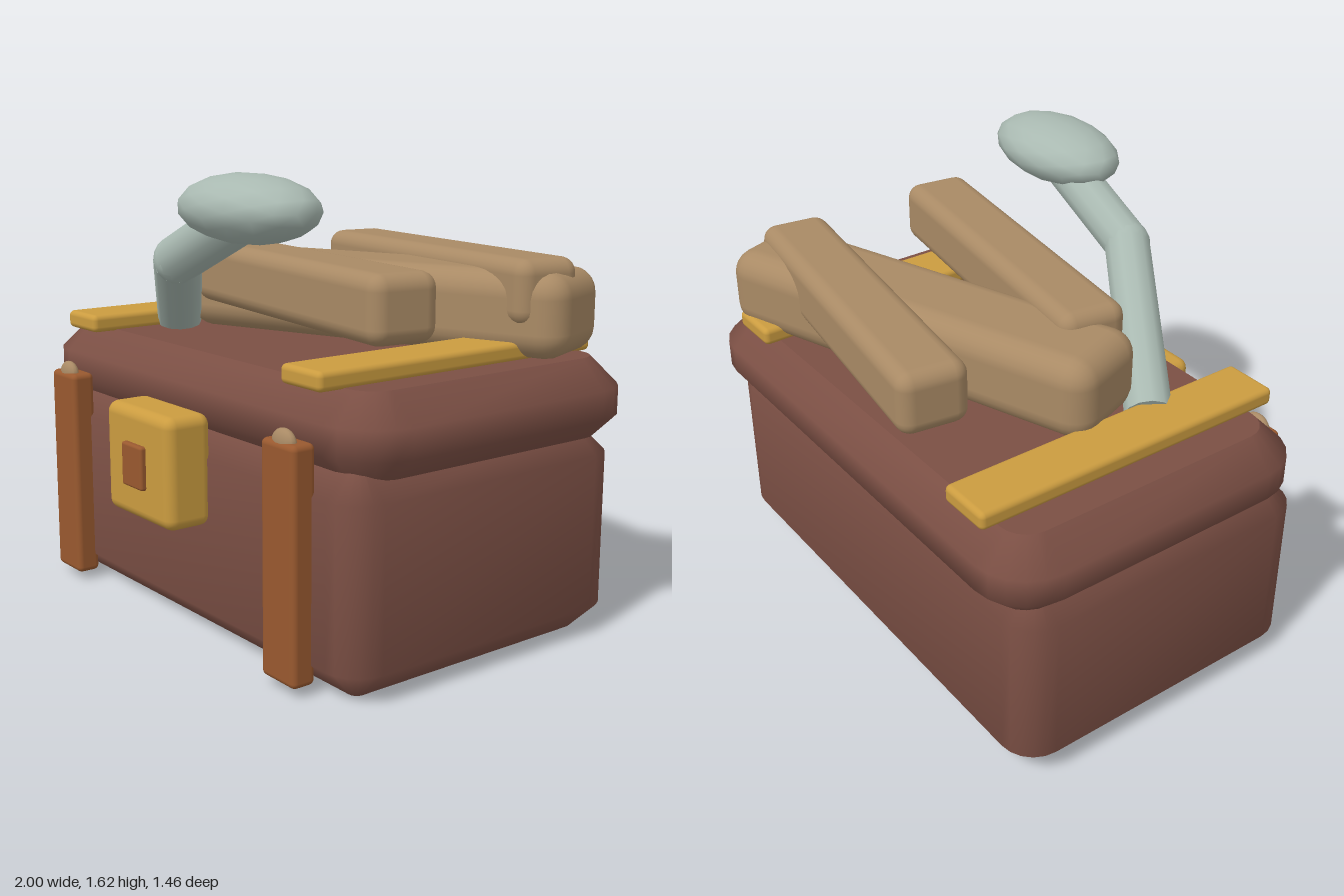
import * as THREE from 'three';
import { RoundedBoxGeometry } from 'three/addons/geometries/RoundedBoxGeometry.js';

const material = (name, color) => Object.assign(new THREE.MeshStandardMaterial({ color }), { name });

// Outline of a rounded rectangle, counter-clockwise in x/z
function outline(hx, hz, r, n = 5) {
  const pts = [];
  [[1, 1], [-1, 1], [-1, -1], [1, -1]].forEach(([sx, sz], q) => {
    for (let i = 0; i <= n; i++) {
      const a = (q + i / n) * Math.PI / 2;
      pts.push([sx * (hx - r) + r * Math.cos(a), sz * (hz - r) + r * Math.sin(a)]);
    }
  });
  return pts;
}

// Box with rounded corners, smooth chamfered walls and flat sharp-edged caps
function chamferedBox(w, h, d, r, bevel) {
  const small = [w / 2 - bevel, d / 2 - bevel, Math.max(r - bevel, 0.01)];
  const big = [w / 2, d / 2, r];
  const rings = [[0, small], [bevel, big], [h - bevel, big], [h, small]]
    .map(([y, s]) => outline(...s).map(([x, z]) => [x, y, z]));
  const n = rings[0].length, pos = rings.flat(2), idx = [];
  for (let k = 0; k < 3; k++) {
    for (let i = 0; i < n; i++) {
      const a = k * n + i, b = k * n + (i + 1) % n;
      idx.push(a, a + n, b, b, a + n, b + n);
    }
  }
  for (const [ring, top] of [[rings[0], false], [rings[3], true]]) {
    const s = pos.length / 3;
    pos.push(...ring.flat());
    for (let i = 1; i < n - 1; i++) idx.push(s, top ? s + i + 1 : s + i, top ? s + i : s + i + 1);
  }
  const g = new THREE.BufferGeometry();
  g.setAttribute('position', new THREE.Float32BufferAttribute(pos, 3));
  g.setIndex(idx);
  g.computeVertexNormals();
  return g;
}

export function createModel() {
  const model = new THREE.Group();
  model.name = 'chest';
  const brown = material('dark brown', 0x7b4f44);
  const leather = material('strap leather', 0x99592f);
  const gold = material('brass', 0xcb9c40);
  const tan = material('tan cloth', 0xa98a65);
  const grey = material('pale grey', 0xa9b9b1);

  function add(name, geometry, mat, x, y, z, ry = 0) {
    const mesh = new THREE.Mesh(geometry, mat);
    mesh.name = name;
    mesh.position.set(x, y, z);
    mesh.rotation.y = ry;
    model.add(mesh);
    return mesh;
  }
  const box = (w, h, d, r, seg = 3) => new RoundedBoxGeometry(w, h, d, seg, r);

  // Chest and lid
  add('chestBody', chamferedBox(1.95, 0.75, 1.21, 0.13, 0.1), brown, 0, 0, -0.055);
  add('lid', chamferedBox(2, 0.3, 1.26, 0.2, 0.1), brown, 0, 0.68, -0.1);

  // Straps, their studs and the bars over the lid
  for (const [side, s] of [['left', 1], ['right', -1]]) {
    add(side + 'LidBar', box(0.205, 0.066, 1.225, 0.02), gold, s * 0.69, 1.008, -0.08);
    add(side + 'Strap', box(0.175, 0.79, 0.09, 0.02), leather, s * 0.69, 0.425, 0.575);
    add(side + 'StrapStud', new THREE.SphereGeometry(1, 14, 10), tan, s * 0.69, 0.815, 0.588)
      .scale.set(0.056, 0.045, 0.026);
  }

  // Lock
  add('lockPlate', box(0.415, 0.395, 0.18, 0.04), gold, 0, 0.612, 0.62);
  add('lockCatch', box(0.13, 0.155, 0.06, 0.01), leather, 0, 0.612, 0.7);

  // Bundles piled on the lid
  add('lowerBundle', box(1.56, 0.3, 0.375, 0.09), tan, 0.148, 1.13, -0.275, 0.35);
  for (const [name, z] of [['backBundle', -0.503], ['frontBundle', 0.142]]) {
    add(name, box(1.28, 0.23, 0.255, 0.055), tan, 0.22, 1.21, z, -0.14);
  }

  // Bent arm with a flattened head
  const path = [[-0.6, 0.985, 0.14], [-0.04, 1.305, 0.5], [0.4, 1.49, 0.52]]
    .map(p => new THREE.Vector3(...p));
  ['lowerArm', 'upperArm'].forEach((name, i) => {
    const a = path[i], dir = path[i + 1].clone().sub(a);
    const mid = a.clone().addScaledVector(dir, 0.5);
    add(name, new THREE.CylinderGeometry(0.085, 0.085, dir.length(), 12), grey, mid.x, mid.y, mid.z)
      .quaternion.setFromUnitVectors(new THREE.Vector3(0, 1, 0), dir.normalize());
  });
  add('elbow', new THREE.SphereGeometry(0.085, 14, 10), grey, ...path[1].toArray());
  add('armHead', new THREE.IcosahedronGeometry(1, 2), grey, 0.44, 1.512, 0.54)
    .scale.set(0.305, 0.113, 0.183);

  return model;
}
